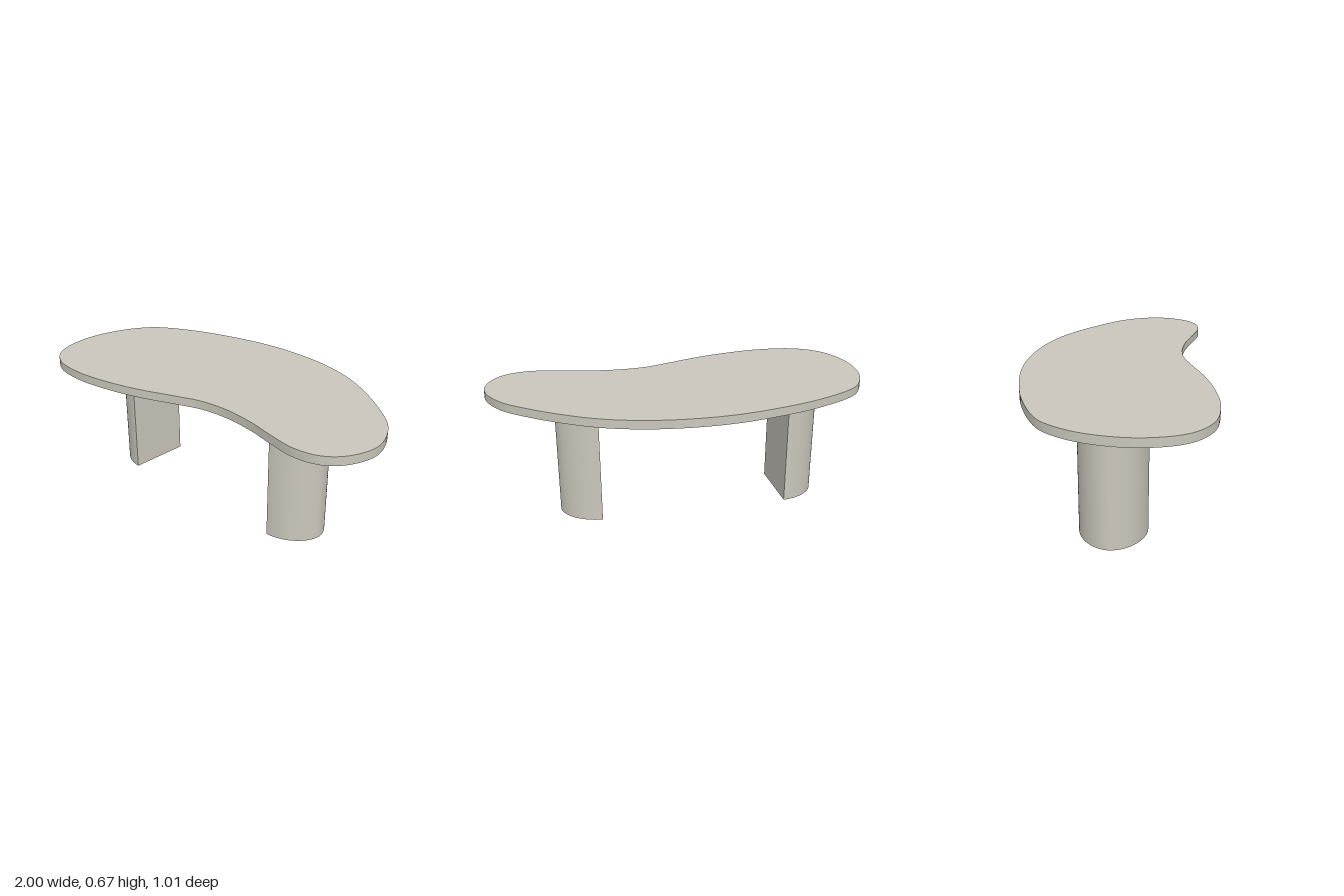
import * as THREE from 'three';
import { toCreasedNormals } from 'three/addons/utils/BufferGeometryUtils.js';

// Extrude a floor-plan outline of [x, z] points upward from y0 to y1
function slab(outline, y0, y1) {
  const shape = new THREE.Shape(outline.map(([x, z]) => new THREE.Vector2(x, -z)));
  const geometry = new THREE.ExtrudeGeometry(shape, { depth: y1 - y0, bevelEnabled: false });
  geometry.rotateX(-Math.PI / 2).translate(0, y0, 0);
  return toCreasedNormals(geometry, 0.5);
}

export function createModel() {
  const group = new THREE.Group();
  group.name = 'table';
  const stone = new THREE.MeshStandardMaterial({ color: 0xcbc7bd });
  stone.name = 'warm grey';

  const add = (name, geometry) => {
    const mesh = new THREE.Mesh(geometry, stone);
    mesh.name = name;
    group.add(mesh);
  };

  // Kidney-shaped top: smooth closed curve through [x, z] points
  const points = [
    [0, -0.507], [0.25, -0.482], [0.5, -0.4], [0.8, -0.2], [0.935, -0.06], [0.998, 0.12],
    [0.955, 0.27], [0.875, 0.348], [0.75, 0.375], [0.6, 0.35], [0.45, 0.315], [0.27, 0.297],
    [0.12, 0.313], [0, 0.355], [-0.2, 0.43], [-0.4, 0.48], [-0.6, 0.502], [-0.8, 0.474],
    [-0.93, 0.375], [-0.998, 0.17], [-0.97, -0.07], [-0.88, -0.235], [-0.8, -0.3],
    [-0.6, -0.395], [-0.4, -0.455], [-0.2, -0.495],
  ];
  const curve = new THREE.CatmullRomCurve3(
    points.map(([x, z]) => new THREE.Vector3(x, 0, z)), true);
  const outline = curve.getSpacedPoints(160).slice(0, -1).map((p) => [p.x, p.z]);
  add('tableTop', slab(outline, 0.628, 0.672));

  // D-shaped legs: flat face inward, rounded face outward
  const leg = (name, side, flatX) => {
    const steps = 40;
    const plan = [];
    for (let i = 0; i <= steps; i++) {
      const t = -Math.PI / 2 + (Math.PI * i) / steps;
      const power = 2 / 1.85;
      const x = Math.pow(Math.max(0, Math.cos(t)), power) * 0.205;
      const z = Math.sign(Math.sin(t)) * Math.pow(Math.abs(Math.sin(t)), power) * 0.168;
      plan.push([flatX + side * x, 0.018 + z]);
    }
    add(name, slab(plan, 0, 0.628));
  };
  leg('leftLeg', 1, 0.453);
  leg('rightLeg', -1, -0.55);

  return group;
}
